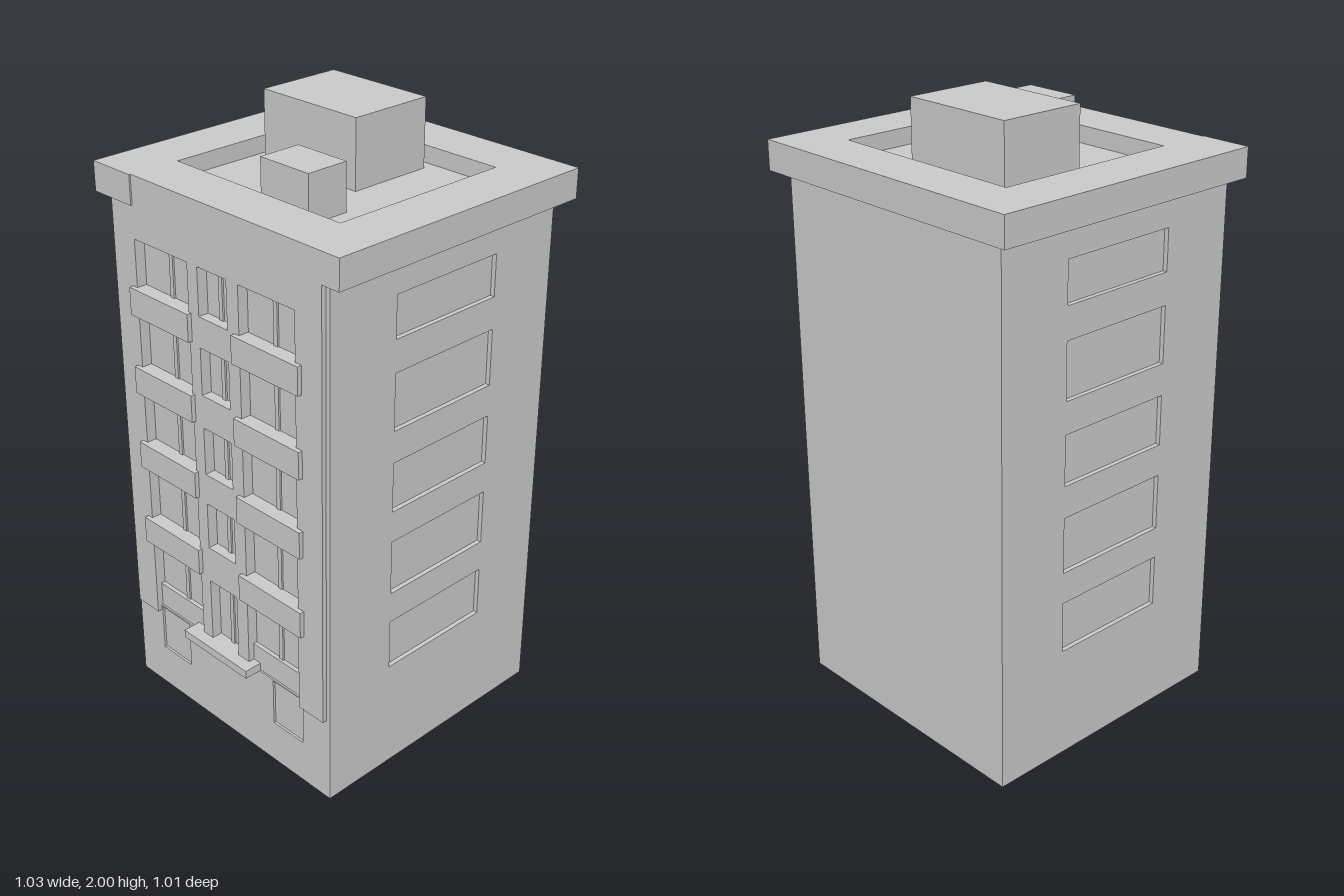
import * as THREE from 'three';

const material = new THREE.MeshStandardMaterial({ color: 0xcccccc, flatShading: true });

// Window head and sill heights per floor, ground floor first
const floors = [[0.565, 0.345], [0.85, 0.69], [1.115, 0.955], [1.38, 1.225], [1.635, 1.48]];
const sideWindows = [[0.375, 0.545], [0.65, 0.835], [0.94, 1.105], [1.21, 1.395], [1.5, 1.635]];
const balconyBottoms = [0.58, 0.86, 1.125, 1.39];
const bays = [[-0.345, -0.105], [0.115, 0.345]];
const centre = [-0.06, 0.065];
const basementDoors = [[-0.34, -0.2], [0.21, 0.345]];

function box(parent, name, x0, x1, y0, y1, z0, z1) {
  const mesh = new THREE.Mesh(new THREE.BoxGeometry(x1 - x0, y1 - y0, z1 - z0), material);
  mesh.position.set((x0 + x1) / 2, (y0 + y1) / 2, (z0 + z1) / 2);
  mesh.name = name;
  parent.add(mesh);
  return mesh;
}

const polygon = (points) => new THREE.Shape(points.map(([x, y]) => new THREE.Vector2(x, y)));
const rect = (x0, x1, y0, y1) => polygon([[x0, y0], [x1, y0], [x1, y1], [x0, y1]]);

// Flat slab with rectangular openings
function slab(parent, name, shape, holes, depth) {
  shape.holes = holes.map((h) => rect(...h));
  const mesh = new THREE.Mesh(new THREE.ExtrudeGeometry(shape, { depth, bevelEnabled: false }), material);
  mesh.name = name;
  parent.add(mesh);
  return mesh;
}

export function createModel() {
  const model = new THREE.Group();
  model.name = 'apartmentBuilding';

  // Solid core, whose faces form the window panes
  box(model, 'core', -0.445, 0.45, 0, 1.74, -0.465, 0.43);

  // Side walls with shallow window recesses
  const sideHoles = sideWindows.map(([y0, y1]) => [-0.195, 0.215, y0, y1]);
  for (const [name, x] of [['rightWall', -0.46], ['leftWall', 0.45]]) {
    const wall = slab(model, name, rect(-0.45, 0.465, 0, 1.74), sideHoles, 0.015);
    wall.rotation.y = Math.PI / 2;
    wall.position.x = x;
  }

  // Openings shared by the front wall and the raised facade
  const upper = [];
  floors.forEach(([top, bottom], i) => {
    if (i > 0) for (const [x0, x1] of bays) upper.push([x0, x1, bottom - 0.03, top]);
    upper.push([...centre, bottom, top]);
  });
  const lower = bays.map(([x0, x1]) => [x0, x1, 0.32, 0.565]);
  const doors = basementDoors.map(([x0, x1]) => [x0, x1, 0.15, 0.315]);

  const front = slab(model, 'frontWall', rect(-0.445, 0.45, 0, 1.74), [...upper, ...lower, ...doors], 0.02);
  front.position.z = 0.43;

  // Facade layer, notched at the ground floor bays
  const outline = polygon([
    [-0.445, 0.3], [-0.345, 0.3], [-0.345, 0.565], [-0.105, 0.565], [-0.105, 0.315],
    [0.115, 0.315], [0.115, 0.565], [0.345, 0.565], [0.345, 0.3], [0.45, 0.3],
    [0.45, 1.74], [-0.445, 1.74],
  ]);
  slab(model, 'facade', outline, upper, 0.015).position.z = 0.45;

  // Window mullions
  floors.forEach(([top, bottom], i) => {
    const sill = i === 0 ? 0.405 : bottom - 0.03;
    for (const x of [-0.215, 0.235]) box(model, 'mullion', x - 0.008, x + 0.008, sill, top, 0.43, 0.436);
    box(model, 'mullion', -0.003, 0.013, bottom, top, 0.43, 0.436);
  });

  // Ground floor parapets and basement door leaves
  for (const [x0, x1] of bays) box(model, 'parapet', x0, x1, 0.32, 0.405, 0.43, 0.444);
  for (const [x0, x1] of basementDoors) box(model, 'basementDoor', x0, x1, 0.15, 0.315, 0.43, 0.442);

  // Balconies
  for (const y of balconyBottoms) {
    box(model, 'balcony', -0.365, -0.095, y, y + 0.09, 0.431, 0.48);
    box(model, 'balcony', 0.095, 0.37, y, y + 0.09, 0.431, 0.48);
  }

  // Entrance slab
  box(model, 'entranceSlab', -0.155, 0.145, 0.317, 0.345, 0.431, 0.505);

  // Cornice ring around the sunken roof deck
  const cornice = slab(model, 'cornice', rect(-0.515, 0.515, -0.465, 0.505), [[-0.34, 0.345, -0.295, 0.335]], 0.095);
  cornice.rotation.x = -Math.PI / 2;
  cornice.position.y = 1.74;
  box(model, 'corniceEnd', -0.515, -0.345, 1.74, 1.835, 0.465, 0.47);
  box(model, 'roofDeck', -0.34, 0.345, 1.74, 1.78, -0.335, 0.295);

  // Rooftop housings
  box(model, 'stairHousing', -0.29, 0.1, 1.78, 2, -0.295, -0.005);
  box(model, 'ventHousing', 0.005, 0.2, 1.78, 1.93, 0.13, 0.275);

  return model;
}
